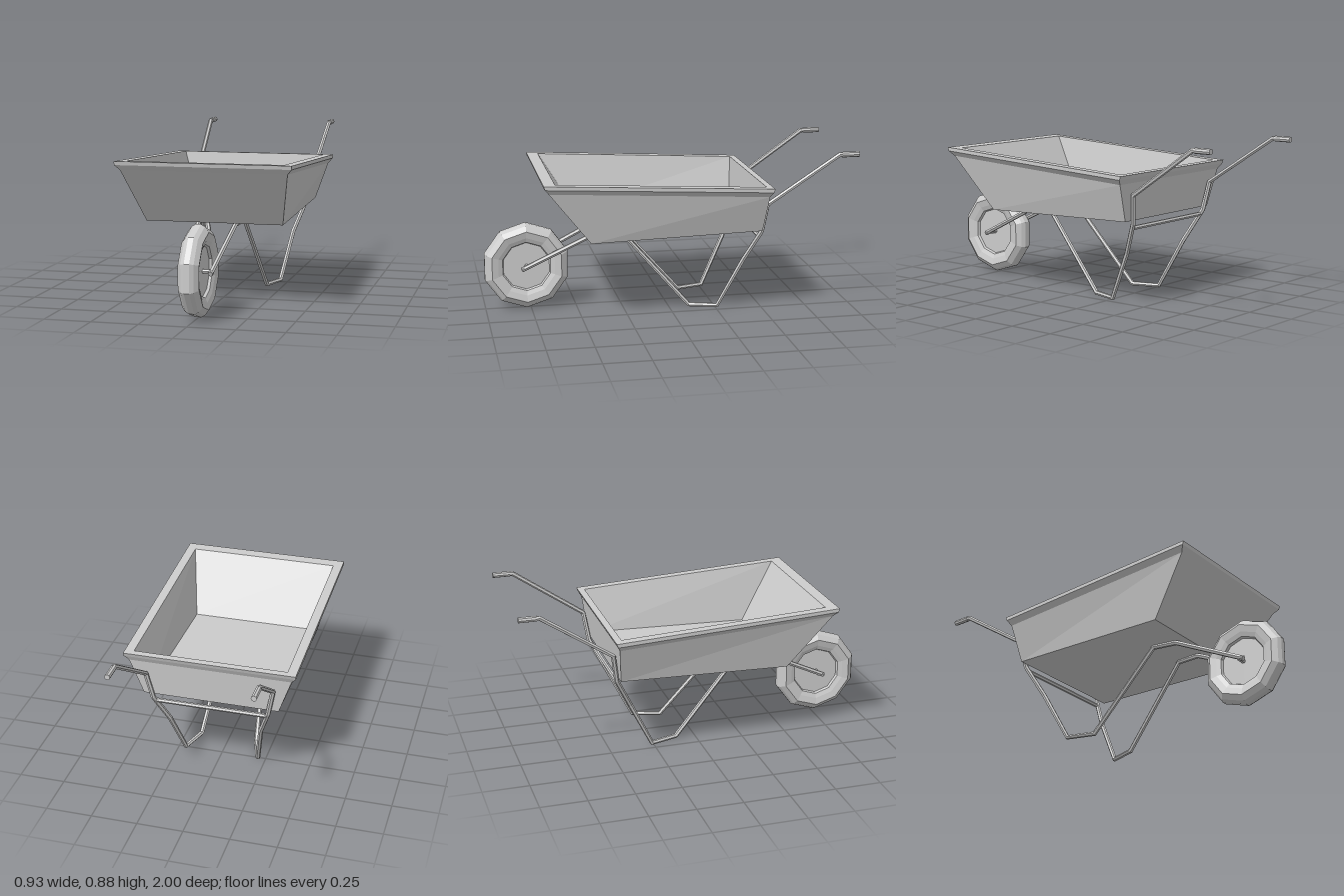
import * as THREE from 'three';

const mat = new THREE.MeshStandardMaterial({ color: 0xcccccc, flatShading: true });
const V = (x, y, z) => new THREE.Vector3(x, y, z);

function add(parent, geometry, name) {
  const mesh = new THREE.Mesh(geometry, mat);
  mesh.name = name;
  parent.add(mesh);
  return mesh;
}

// Polyline path whose rings sit exactly on the bends, mitred
class BentPath extends THREE.Curve {
  constructor(points) {
    super();
    this.points = points;
  }
  getPointAt(u) {
    return this.points[Math.round(u * (this.points.length - 1))].clone();
  }
  getTangentAt(u) {
    const p = this.points, n = p.length - 1, i = Math.round(u * n);
    const t = V(0, 0, 0);
    if (i > 0) t.add(p[i].clone().sub(p[i - 1]).normalize());
    if (i < n) t.add(p[i + 1].clone().sub(p[i]).normalize());
    return t.normalize();
  }
}

// Straight capped bar between two points
function rod(parent, a, b, radius, name, sides = 6) {
  const d = b.clone().sub(a);
  const mesh = add(parent, new THREE.CylinderGeometry(radius, radius, d.length(), sides), name);
  mesh.position.copy(a).add(b).multiplyScalar(0.5);
  mesh.quaternion.setFromUnitVectors(V(0, 1, 0), d.normalize());
  return mesh;
}

// Tray skin: rectangular loops from the underside, over the rim, to the inner floor
function trayGeometry() {
  // half width, front z, front y, back z, back y
  const loops = [
    [0.37, 0.46, 0.445, -0.47, 0.47],
    [0.44, 0.687, 0.737, -0.49, 0.672],
    [0.465, 0.71, 0.765, -0.505, 0.70],
    [0.465, 0.715, 0.785, -0.512, 0.72],
    [0.415, 0.652, 0.782, -0.476, 0.722],
    [0.35, 0.45, 0.46, -0.455, 0.485],
  ].map(([x, zf, yf, zb, yb]) => [V(x, yf, zf), V(x, yb, zb), V(-x, yb, zb), V(-x, yf, zf)]);
  const verts = [];
  const quad = (a, b, c, d) => verts.push(a, b, c, a, c, d);
  for (let k = 0; k < loops.length - 1; k++) {
    for (let i = 0; i < 4; i++) {
      const j = (i + 1) % 4;
      quad(loops[k][i], loops[k][j], loops[k + 1][j], loops[k + 1][i]);
    }
  }
  quad(...[...loops[0]].reverse());
  quad(...loops[loops.length - 1]);
  const g = new THREE.BufferGeometry().setFromPoints(verts);
  g.computeVertexNormals();
  return g;
}

export function createModel() {
  const model = new THREE.Group();
  model.name = 'wheelbarrow';

  add(model, trayGeometry(), 'tray');

  // Ten-sided wheel: dished disc, rim step and rounded tyre
  const half = [[0.0, 0.022], [0.132, 0.022], [0.138, 0.036], [0.163, 0.046],
    [0.2, 0.055], [0.228, 0.034], [0.24, 0.014]];
  const profile = [
    ...half.map(([r, w]) => new THREE.Vector2(r, -w)),
    ...half.reverse().map(([r, w]) => new THREE.Vector2(r, w)),
  ];
  const wheelGeometry = new THREE.LatheGeometry(profile, 10);
  wheelGeometry.rotateZ(Math.PI / 2);
  wheelGeometry.rotateX(Math.PI / 2);
  const wheel = add(model, wheelGeometry, 'wheel');
  wheel.position.set(0, 0.245, 0.772);
  rod(model, V(-0.072, 0.245, 0.772), V(0.072, 0.245, 0.772), 0.012, 'axle');

  // Each side is one bent tube: fork, leg, foot, upright and handle
  for (const s of [1, -1]) {
    const side = new THREE.Group();
    side.name = s > 0 ? 'leftFrame' : 'rightFrame';
    model.add(side);
    const points = [
      [0.07, 0.236, 0.802], [0.102, 0.432, 0.4], [0.118, 0.438, 0.26],
      [0.16, 0.015, -0.11], [0.208, 0.015, -0.26], [0.255, 0.28, -0.392],
      [0.316, 0.455, -0.48], [0.346, 0.61, -0.503],
      [0.371, 0.872, -0.89], [0.371, 0.872, -0.99],
    ].map(([x, y, z]) => V(s * x, y, z));
    add(side, new THREE.TubeGeometry(new BentPath(points), points.length - 1, 0.0135, 6), 'frameTube');
    rod(side, points[0], points[0].clone().lerp(points[1], 0.04), 0.014, 'forkEnd');
    rod(side, V(s * 0.371, 0.872, -0.905), V(s * 0.371, 0.872, -1), 0.0155, 'grip', 8);
  }

  // Brace between the rear legs
  rod(model, V(-0.306, 0.43, -0.466), V(0.306, 0.43, -0.466), 0.012, 'crossBar');

  return model;
}
